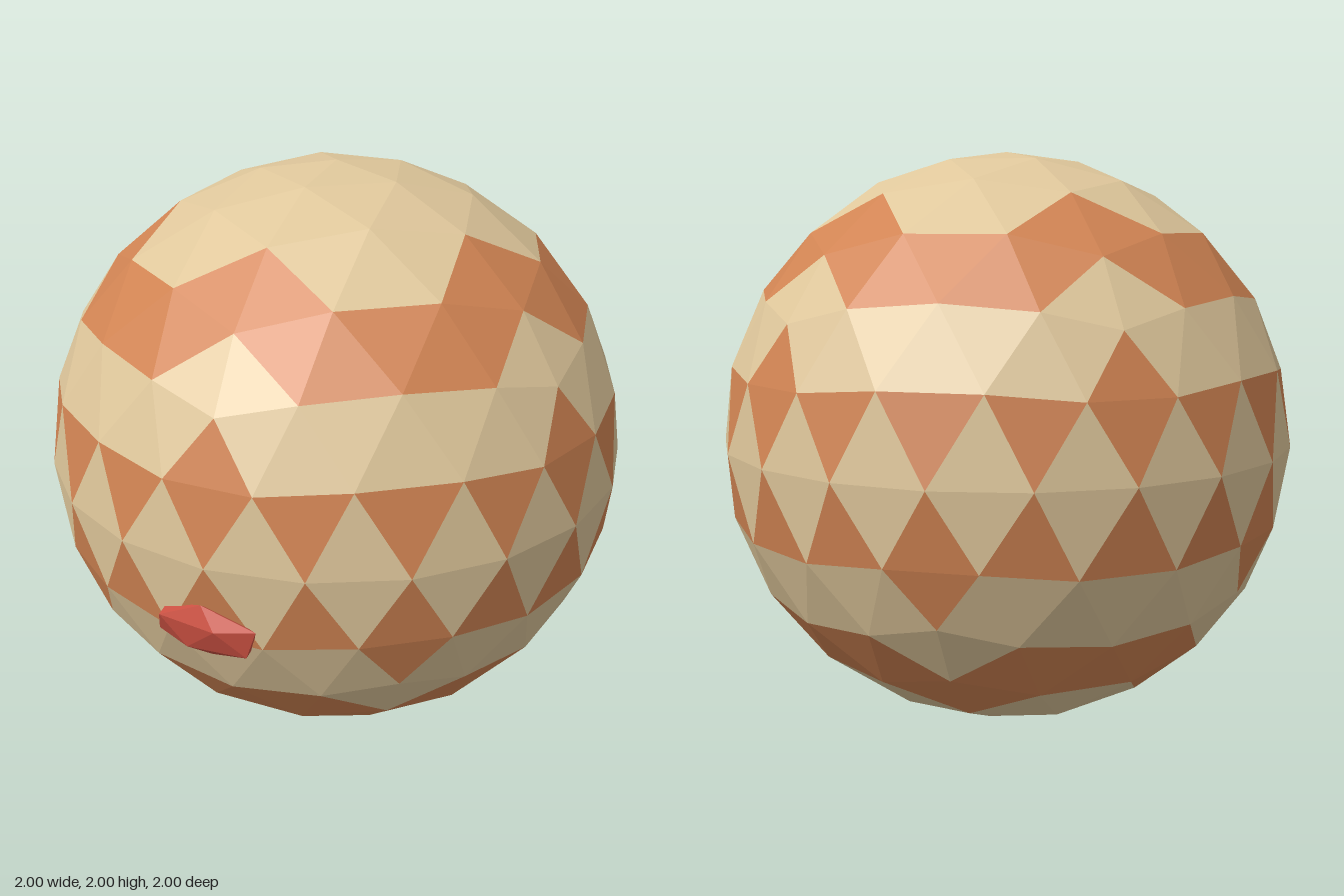
import * as THREE from 'three';

const flat = (name, color) => {
  const m = new THREE.MeshStandardMaterial({ color, flatShading: true });
  m.name = name;
  return m;
};

// Icosahedron standing on a vertex, with its upper ring starting at +x
function icosahedron(detail) {
  const verts = [0, 1, 0];
  const h = 1 / Math.sqrt(5), r = 2 * h;
  for (const [y, offset] of [[h, 0], [-h, Math.PI / 5]]) {
    for (let i = 0; i < 5; i++) {
      const a = offset + (i * Math.PI * 2) / 5;
      verts.push(r * Math.cos(a), y, r * Math.sin(a));
    }
  }
  verts.push(0, -1, 0);
  const faces = [];
  for (let i = 0; i < 5; i++) {
    const j = (i + 1) % 5;
    const a = 1 + i, b = 1 + j, c = 6 + i, d = 6 + j;
    faces.push(0, b, a, a, b, c, b, d, c, 11, c, d);
  }
  return new THREE.PolyhedronGeometry(verts, faces, 1, detail);
}

// Bands mirrored above and below the equator, as ranges of facet height
const BANDS = [[0.12, 0.33], [0.56, 0.762]];
const inBand = (y) => BANDS.some(([lo, hi]) => Math.abs(y) > lo && Math.abs(y) < hi);

// Collect the facets that are in the bands, or those that are not
function facets(source, banded) {
  const p = source.attributes.position;
  const out = [];
  for (let i = 0; i < p.count; i += 3) {
    const y = (p.getY(i) + p.getY(i + 1) + p.getY(i + 2)) / 3;
    if (inBand(y) !== banded) continue;
    for (let k = i; k < i + 3; k++) out.push(p.getX(k), p.getY(k), p.getZ(k));
  }
  const g = new THREE.BufferGeometry();
  g.setAttribute('position', new THREE.Float32BufferAttribute(out, 3));
  g.computeVertexNormals();
  return g;
}

export function createModel() {
  const model = new THREE.Group();
  model.name = 'bandedPlanet';
  const add = (name, geometry, material) => {
    const mesh = new THREE.Mesh(geometry, material);
    mesh.name = name;
    model.add(mesh);
    return mesh;
  };

  // Faceted globe in two colours
  const globe = icosahedron(3);
  add('globeBase', facets(globe, false), flat('cream', 0xdfc79b)).position.y = 1;
  add('globeBands', facets(globe, true), flat('orange', 0xd18453)).position.y = 1;

  // Flattened storm spot lying on the surface, facing outward
  const storm = icosahedron(0);
  storm.scale(0.2, 0.11, 0.05);
  storm.computeVertexNormals();
  const spot = add('stormSpot', storm, flat('red', 0xcc5142));
  spot.position.set(0.27, 0.75, 0.915);
  spot.lookAt(0.54, 0.5, 1.83);

  return model;
}
